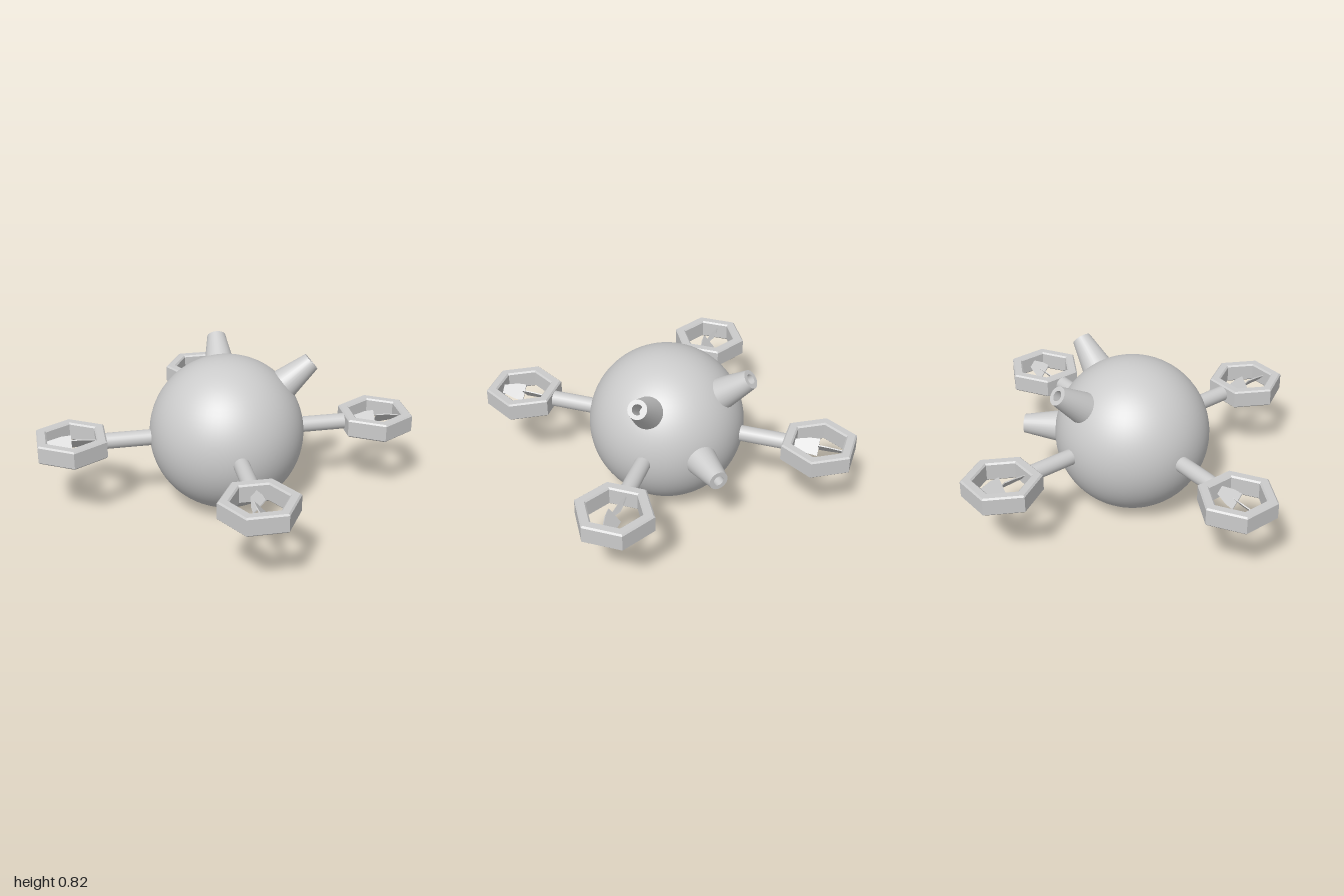
import * as THREE from 'three';

const HUB = new THREE.Vector3(0.006, 0.41, -0.007);
const RING_DIST = 0.818;

const smoothMat = new THREE.MeshStandardMaterial({ color: 0xcccccc });
const flatMat = new THREE.MeshStandardMaterial({ color: 0xcccccc, flatShading: true });
const thinMat = new THREE.MeshStandardMaterial({ color: 0xcccccc, flatShading: true, side: THREE.DoubleSide });

function add(parent, name, geometry, material) {
  const mesh = new THREE.Mesh(geometry, material);
  mesh.name = name;
  parent.add(mesh);
  return mesh;
}

// Hexagon with its flats facing along the arm
function hexPoints(radius) {
  return Array.from({ length: 6 }, (_, i) => {
    const a = Math.PI / 6 + (i * Math.PI) / 3;
    return new THREE.Vector2(radius * Math.cos(a), radius * Math.sin(a));
  });
}

// Hexagonal guard frame with softly chamfered edges
function frameGeometry() {
  const bevel = 0.008;
  const shape = new THREE.Shape(hexPoints(0.203 - bevel));
  shape.holes.push(new THREE.Path(hexPoints(0.146 + bevel).reverse()));
  const geometry = new THREE.ExtrudeGeometry(shape, {
    depth: 0.1 - 2 * bevel, bevelEnabled: true, bevelThickness: bevel, bevelSize: bevel, bevelSegments: 1,
  });
  geometry.translate(0, 0, -0.05 + bevel);
  return geometry.rotateX(-Math.PI / 2);
}

// One tapered half of a rotor, pitched about its long axis
function bladeGeometry(pitch) {
  const shape = new THREE.Shape([[0, -0.045], [0.05, -0.042], [0.128, -0.022], [0.128, 0.022], [0.05, 0.042], [0, 0.045]]
    .map(([x, y]) => new THREE.Vector2(x, y)));
  const geometry = new THREE.ExtrudeGeometry(shape, { depth: 0.006, bevelEnabled: false });
  geometry.translate(0, 0, -0.003);
  return geometry.rotateX(-Math.PI / 2 + pitch);
}

// Hollow tapered nozzle, pointing along +y from the hub centre
function nozzleGeometry() {
  // Repeated corner points keep the rim edges sharp
  const walls = [
    [[0.093, 0.34], [0.05, 0.58]],
    [[0.05, 0.58], [0.027, 0.58]],
    [[0.027, 0.58], [0.027, 0.44]],
    [[0.027, 0.44], [0, 0.44]],
  ];
  return walls.map((wall) => new THREE.LatheGeometry(wall.map(([r, y]) => new THREE.Vector2(r, y)), 32));
}

export function createModel() {
  const model = new THREE.Group();
  model.name = 'drone';

  const craft = new THREE.Group();
  craft.name = 'craft';
  craft.position.copy(HUB);
  model.add(craft);

  add(craft, 'body', new THREE.SphereGeometry(0.408, 64, 40), smoothMat);

  // Four arms, each with a guarded rotor
  for (let i = 0; i < 4; i++) {
    const arm = new THREE.Group();
    arm.name = 'arm' + (i + 1);
    arm.rotation.y = (i * Math.PI) / 2;
    craft.add(arm);

    const rod = add(arm, 'rod', new THREE.CylinderGeometry(0.042, 0.042, 0.3, 24), smoothMat);
    rod.rotation.z = Math.PI / 2;
    rod.position.x = 0.5;

    const rotor = new THREE.Group();
    rotor.name = 'rotor';
    rotor.position.x = RING_DIST;
    arm.add(rotor);
    add(rotor, 'guardFrame', frameGeometry(), flatMat);

    // The two halves are opposite turns of the same pitched blade
    for (let j = 0; j < 2; j++) {
      const blade = add(rotor, 'blade', bladeGeometry(-0.85), thinMat);
      blade.rotation.y = j * Math.PI;
    }
  }

  // Three nozzles: raised left, raised rear, level between them
  const slope = 0.68;
  const directions = [
    new THREE.Vector3(Math.cos(slope), Math.sin(slope), 0.01),
    new THREE.Vector3(0.05, Math.sin(slope), -Math.cos(slope)),
    new THREE.Vector3(1, 0, -0.96),
  ];
  directions.forEach((dir, i) => {
    const nozzle = new THREE.Group();
    nozzle.name = 'nozzle' + (i + 1);
    nozzle.quaternion.setFromUnitVectors(new THREE.Vector3(0, 1, 0), dir.normalize());
    craft.add(nozzle);
    const wallMat = new THREE.MeshStandardMaterial({ color: 0xcccccc, side: THREE.DoubleSide });
    nozzleGeometry().forEach((g, k) => add(nozzle, ['shell', 'rim', 'bore', 'boreFloor'][k], g, wallMat));
  });

  return model;
}
